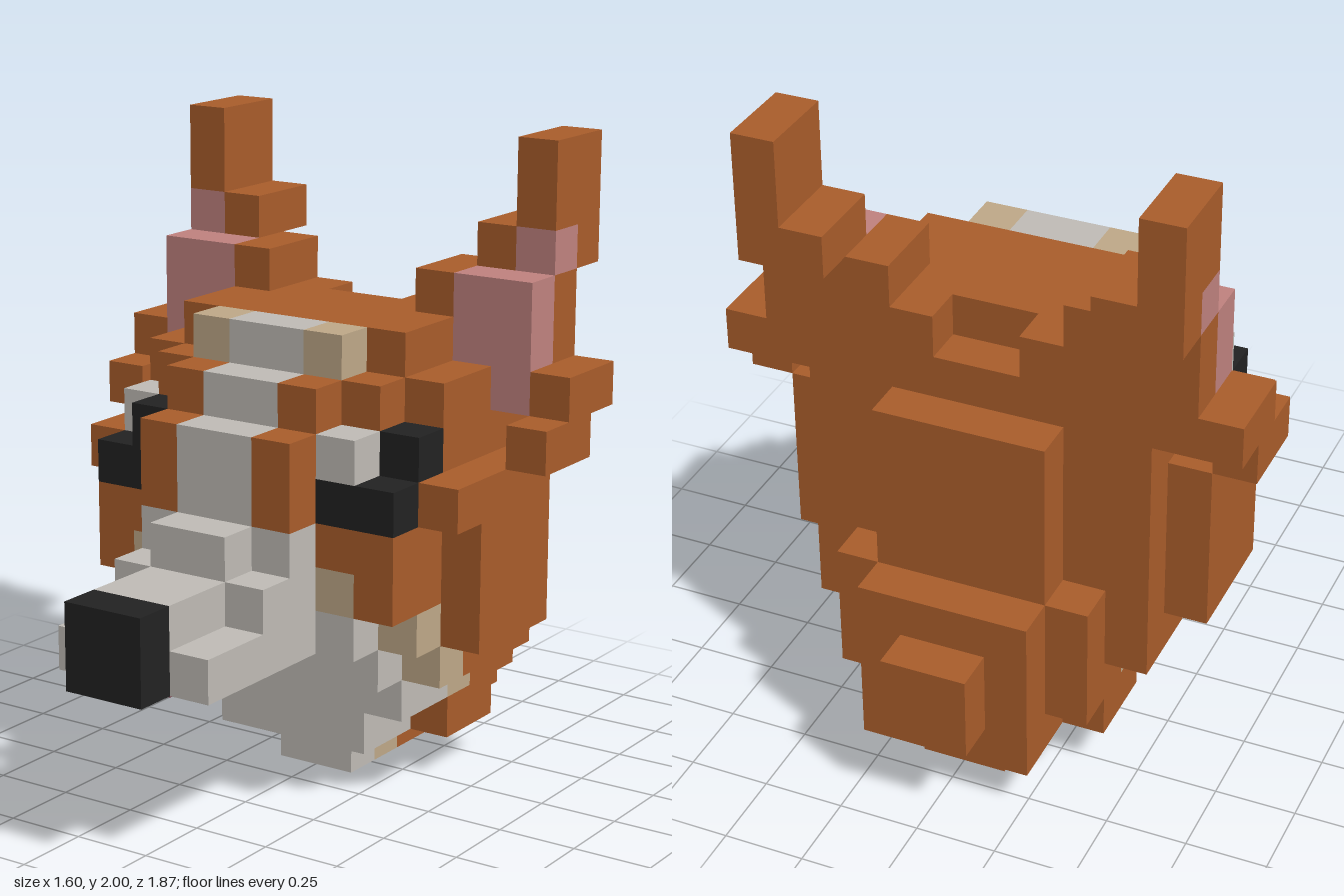
import * as THREE from 'three';

// One block of the model's grid
const U = 2 / 15;

const mat = (name, color) => {
  const m = new THREE.MeshStandardMaterial({ color });
  m.name = name;
  return m;
};

export function createModel() {
  const root = new THREE.Group();
  root.name = 'blockyFoxHead';

  const orange = mat('orange fur', 0xaa5d2b);
  const grey = mat('pale grey fur', 0xc0bcb6);
  const tan = mat('tan fur', 0xbfa888);
  const pink = mat('inner ear pink', 0xc0827f);
  const black = mat('black', 0x222222);
  const red = mat('mouth red', 0x803c4a);

  // Box from limits in grid blocks: x0, x1, y0, y1, z0, z1
  const box = (name, m, [x0, x1, y0, y1, z0, z1]) => {
    const mesh = new THREE.Mesh(
      new THREE.BoxGeometry((x1 - x0) * U, (y1 - y0) * U, (z1 - z0) * U), m);
    mesh.position.set((x0 + x1) / 2 * U, (y0 + y1) / 2 * U, (z0 + z1) / 2 * U);
    mesh.name = name;
    root.add(mesh);
  };
  const boxes = (name, m, list) => list.forEach((b) => box(name, m, b));
  // Same boxes on both sides, given for +x
  const pairs = (name, m, list) => list.forEach(([x0, x1, ...r]) => {
    box(name + 'Left', m, [x0, x1, ...r]);
    box(name + 'Right', m, [-x1, -x0, ...r]);
  });

  // Skull and crown
  boxes('skull', orange, [[-4, 4, 4, 9, -4, 0], [-4, 4, 3, 4, -4, -1]]);
  boxes('crown', orange, [[-4, 4, 9, 10, -4, 0], [-3, 3, 10, 11, -3, 0]]);
  pairs('crownBack', orange, [[1, 3, 10, 11, -4, -3]]);

  // Back of the head and neck
  boxes('backPlate', orange, [[-2, 2, 5, 9, -5, -4]]);
  boxes('neck', orange, [
    [-3, 3, 2, 5, -5, -3], [-3, 3, 1, 2, -4, -2],
    [-2, 2, 1, 5, -6, -4], [-1, 1, 2, 4, -7, -6],
    [-1, 1, 0, 1, -5, -3],
  ]);

  // Throat
  boxes('throat', grey, [
    [-3, 3, 2, 3, -2, 0], [-2, 2, 1, 2, -2, 0], [-1, 1, 0, 1, -2, -1],
  ]);
  boxes('throatTan', tan, [[-3, 3, 2, 3, -3, -2], [-1, 1, 0, 1, -3, -2]]);

  // Jaw and cheeks
  boxes('jaw', grey, [[-3, 3, 3, 4, -1, 1], [-3, 3, 4, 5, 0, 2]]);
  pairs('jawTan', tan, [
    [3, 4, 3, 4, -1, 0], [3, 4, 4, 5, 0, 1], [2, 3, 5, 6, 0, 2],
  ]);
  pairs('cheek', orange, [
    [3, 4, 5, 7, 0, 2], [2, 3, 6, 7, 0, 2],
    [4, 5, 4, 7, -3, 0], [4, 5, 7, 8, -3, 1],
  ]);

  // Muzzle, mouth and nose
  boxes('muzzle', grey, [
    [-2, 2, 4, 5, 2, 6], [-2, 2, 5, 6, 0, 4], [-1, 1, 5, 6, 4, 6],
    [-2, 2, 6, 7, 0, 3], [-1, 1, 6, 7, 3, 4],
  ]);
  box('mouth', red, [-1, 1, 3.97, 4.02, 1, 6]);
  box('nose', black, [-1, 1, 4, 6, 6, 7]);

  // Pale blaze up the face, with fur on each side
  boxes('blaze', grey, [
    [-1, 1, 7, 9, 0, 3], [-1, 1, 9, 10, 0, 2], [-1, 1, 10, 11, 0, 1],
  ]);
  pairs('browInner', orange, [[1, 2, 7, 9, 0, 3], [1, 2, 9, 10, 0, 2]]);
  pairs('brow', orange, [[2, 3, 9, 10, 0, 1]]);
  pairs('foreheadTan', tan, [[1, 2, 10, 11, 0, 1]]);

  // Eyes, both glancing to the same side
  pairs('eyeLower', black, [[2, 4, 7, 8, 0, 2]]);
  box('eyeWhiteLeft', grey, [2, 3, 8, 9, 0, 2]);
  box('pupilLeft', black, [3, 4, 8, 9, 0, 1]);
  box('pupilRight', black, [-3, -2, 8, 9, 0, 2]);
  box('eyeWhiteRight', grey, [-4, -3, 8, 9, 0, 1]);

  // Ears
  pairs('ear', orange, [
    [4, 5, 9, 10, -4, -3], [3, 5, 10, 12, -4, -3], [2, 3, 10, 12, -4, -2],
    [5, 6, 8, 9, -3, -1], [5, 6, 9, 10, -4, -2],
    [3, 4, 12, 13, -5, -3], [4, 5, 12, 13, -5, -4], [4, 5, 13, 15, -5, -3],
  ]);
  pairs('innerEar', pink, [
    [4, 5, 9, 10, -3, -2], [3, 5, 10, 12, -3, -2], [4, 5, 12, 13, -4, -3],
  ]);

  return root;
}
